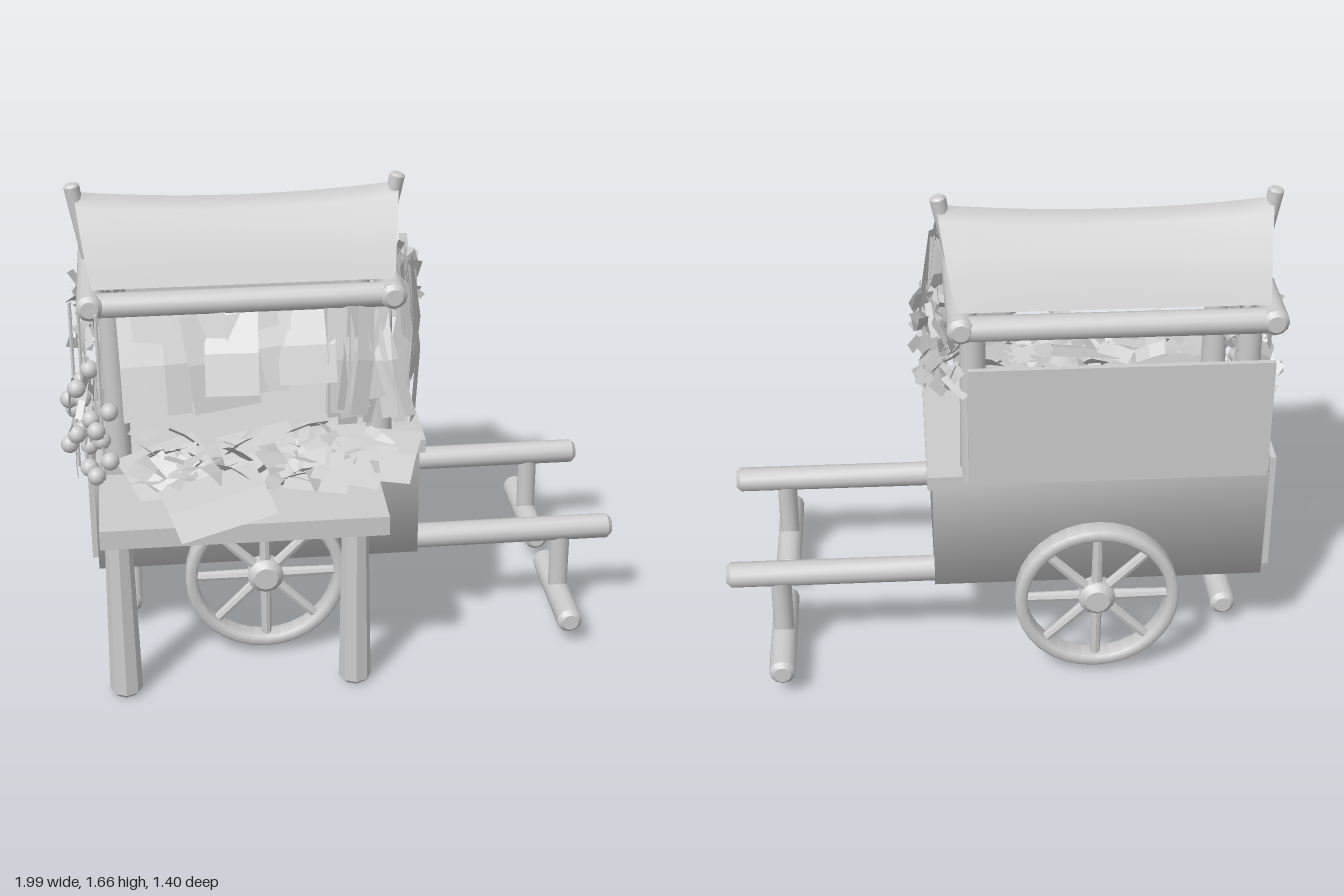
import * as THREE from 'three';
import { mergeGeometries, mergeVertices, toCreasedNormals } from 'three/addons/utils/BufferGeometryUtils.js';

const solid = new THREE.MeshStandardMaterial({ color: 0xcccccc });
const thin = new THREE.MeshStandardMaterial({ color: 0xcccccc, side: THREE.DoubleSide });
const V = (x, y, z) => new THREE.Vector3(x, y, z);

let seed = 7;
const rnd = (a, b) => {
  seed = (seed * 16807) % 2147483647;
  return a + (b - a) * (seed / 2147483647);
};

export function createModel() {
  const model = new THREE.Group();
  const add = (name, geo, mat = solid, parent = model) => {
    const m = new THREE.Mesh(geo, mat);
    m.name = name;
    parent.add(m);
    return m;
  };

  // Round bar with chamfered ends running from a to b
  const bar = (name, a, b, r0, r1 = r0, parent = model, sides = 12) => {
    const L = a.distanceTo(b), c = Math.min(r0, r1) * 0.35;
    const pts = [[0, 0], [r0 - c, 0], [r0, c], [r1, L - c], [r1 - c, L], [0, L]].map(p => new THREE.Vector2(...p));
    const m = add(name, toCreasedNormals(new THREE.LatheGeometry(pts, sides), 0.7), solid, parent);
    m.position.copy(a);
    m.quaternion.setFromUnitVectors(V(0, 1, 0), b.clone().sub(a).normalize());
    return m;
  };
  const box = (name, x0, x1, y0, y1, z0, z1) => {
    const m = add(name, new THREE.BoxGeometry(x1 - x0, y1 - y0, z1 - z0));
    m.position.set((x0 + x1) / 2, (y0 + y1) / 2, (z0 + z1) / 2);
    return m;
  };

  // Cart body: open tub with soft shading, slightly narrower at the bottom
  let tub = new THREE.BoxGeometry(1.15, 0.43, 0.74);
  const keep = [];
  for (let i = 0; i < 36; i++) if (i < 12 || i >= 18) keep.push(tub.index.getX(i));
  tub.setIndex(keep);
  tub.deleteAttribute('normal');
  tub.deleteAttribute('uv');
  tub = mergeVertices(tub);
  const tp = tub.attributes.position;
  for (let i = 0; i < tp.count; i++) if (tp.getY(i) < 0) tp.setZ(i, tp.getZ(i) * 0.97);
  tub.computeVertexNormals();
  add('cartBody', tub, thin).position.set(-0.305, 0.545, -0.155);
  box('cartDeck', -0.87, 0.18, 0.7, 0.74, -0.52, 0.21);
  box('endPlank', 0.17, 0.29, 0.74, 0.79, -0.54, 0.22);
  box('tailPanel', -0.9, -0.88, 0.38, 0.82, -0.53, 0.21);
  box('backPanel', -0.87, 0.15, 0.76, 1.2, -0.545, -0.525);

  // Wheels and axle
  bar('axle', V(-0.29, 0.315, -0.6), V(-0.29, 0.315, 0.28), 0.028);
  for (const z of [0.282, -0.595]) {
    const wheel = new THREE.Group();
    wheel.name = 'wheel';
    wheel.position.set(-0.29, 0.32, z);
    const ring = [[0.245, -0.03], [0.255, -0.038], [0.275, -0.038], [0.285, -0.03], [0.285, 0.03],
      [0.275, 0.038], [0.255, 0.038], [0.245, 0.03], [0.245, -0.03]].map(p => new THREE.Vector2(...p));
    add('wheelRim', toCreasedNormals(new THREE.LatheGeometry(ring, 32), 0.9), solid, wheel).rotation.x = Math.PI / 2;
    bar('hub', V(0, 0, -0.045), V(0, 0, 0.045), 0.065, 0.065, wheel);
    for (let i = 0; i < 8; i++) {
      const a = i * Math.PI / 4, d = V(Math.cos(a), Math.sin(a), 0);
      bar('spoke', d.clone().multiplyScalar(0.04), d.clone().multiplyScalar(0.26), 0.02, 0.017, wheel, 8);
    }
    model.add(wheel);
  }

  // Pull handles and three resting feet
  const foot = (x, z) => {
    bar('footPost', V(x, 0.1, z), V(x, 0.36, z), 0.036);
    bar('footBar', V(x, 0.102, z - 0.237), V(x, 0.102, z + 0.237), 0.046);
  };
  for (const z of [-0.465, 0.15]) {
    bar('handle', V(0.1, 0.367, z), V(0.998, 0.367, z), 0.045);
    foot(0.81, z);
  }
  foot(-0.78, -0.155);

  // Stall table with flared legs
  box('tableTop', -0.86, 0.11, 0.64, 0.71, 0.2, 0.62);
  for (const x of [-0.8, 0.007]) bar('tableLeg', V(x, 0, 0.5), V(x, 0.65, 0.5), 0.057, 0.046, model, 8);

  // Canopy frame
  for (const x of [-0.79, 0.13]) for (const z of [0.155, -0.465])
    bar('canopyPost', V(x, 0.72, z), V(x, 1.34, z), 0.046, 0.042);
  for (const z of [0.185, -0.505]) bar('longBeam', V(-0.9, 1.338, z), V(0.21, 1.338, z), 0.043);
  for (const x of [-0.86, 0.17]) bar('sideBeam', V(x, 1.343, -0.55), V(x, 1.343, 0.24), 0.046);
  bar('ridgePost', V(-0.86, 1.36, -0.158), V(-0.91, 1.655, -0.158), 0.024, 0.028);
  bar('ridgePost', V(0.17, 1.36, -0.158), V(0.23, 1.655, -0.158), 0.024, 0.028);

  // Sagging cloth roof
  const roof = new THREE.PlaneGeometry(2, 2, 12, 16);
  const rp = roof.attributes.position;
  for (let i = 0; i < rp.count; i++) {
    const u = rp.getX(i), v = rp.getY(i), t = Math.abs(v);
    const drape = 1.625 - 0.235 * t - 0.03 * Math.sin(Math.PI * t);
    rp.setXYZ(i, -0.335 + u * (0.57 - 0.055 * t), drape - 0.03 * (1 - u * u) * (1 - t), -0.16 - v * 0.335);
  }
  roof.computeVertexNormals();
  add('roofCloth', roof, thin);

  // Batches of thin sheets: each entry gives size, position, rotation, and whether it hangs from its top
  const sheets = (name, n, make, hang) => {
    const list = [];
    for (let i = 0; i < n; i++) {
      const { w, h, p, r } = make(i);
      const g = new THREE.PlaneGeometry(w, h, 1, 2);
      const q = g.attributes.position;
      for (let k = 2; k < 4; k++) q.setZ(k, 0.05 * h);
      if (hang) g.translate(0, -h / 2, 0);
      const m = new THREE.Matrix4().makeRotationFromEuler(new THREE.Euler(...r));
      list.push(g.applyMatrix4(m.setPosition(...p)).toNonIndexed());
    }
    const all = mergeGeometries(list);
    all.computeVertexNormals();
    add(name, all, thin);
  };

  // Cloths and strips hung from the front beam and corner
  sheets('hangingCloths', 10, i => ({
    w: rnd(0.15, 0.24), h: rnd(0.24, 0.38), p: [-0.7 + i * 0.063, 1.3, rnd(0.17, 0.2)],
    r: [rnd(-0.65, -0.15), rnd(-0.2, 0.2), rnd(-0.1, 0.15)] }), true);
  sheets('frontStrips', 14, i => ({
    w: rnd(0.03, 0.08), h: rnd(0.32, 0.44), p: [-0.05 + i * 0.016, 1.31, rnd(0.17, 0.22)],
    r: [rnd(-0.4, -0.05), rnd(-0.6, 0.6), rnd(-0.25, 0.3)] }), true);
  sheets('cornerStrips', 13, i => ({
    w: rnd(0.05, 0.11), h: rnd(0.42, 0.54), p: [rnd(0.21, 0.24), rnd(1.36, 1.44), -0.02 + i * 0.015],
    r: [rnd(-0.25, 0.12), Math.PI / 2 + rnd(-0.4, 0.4), rnd(0.02, 0.22)] }), true);

  // Herb bunches along both side beams
  const bunch = (x, s) => sheets('herbBunch', 75, () => ({
    w: rnd(0.025, 0.06), h: rnd(0.06, 0.13),
    p: [x + s * rnd(-0.05, 0.09), rnd(1.06, 1.3), rnd(-0.48, -0.07)],
    r: [rnd(-1.3, 1.3), rnd(-3, 3), rnd(-1.3, 1.3)] }), false);
  bunch(0.22, 1);
  bunch(-0.83, -1);

  // Leaves and broad wrappers lying on the table
  sheets('tableLeaves', 85, () => ({
    w: rnd(0.04, 0.08), h: rnd(0.08, 0.17), p: [rnd(-0.74, 0.14), rnd(0.73, 0.87), rnd(0.18, 0.46)],
    r: [-Math.PI / 2 + rnd(-0.8, 0.8), rnd(-0.7, 0.7), rnd(-3, 3)] }), false);
  const wide = [[-0.62, 0.76, 0.28, 0.3, 0.24], [-0.46, 0.75, 0.53, 0.34, 0.27], [-0.3, 0.8, 0.29, 0.26, 0.26],
    [0.02, 0.8, 0.32, 0.24, 0.3], [0.13, 0.83, 0.4, 0.2, 0.27], [-0.1, 0.76, 0.34, 0.22, 0.22]];
  sheets('broadLeaves', wide.length, i => ({
    w: wide[i][3], h: wide[i][4], p: wide[i].slice(0, 3),
    r: [-Math.PI / 2 + rnd(0.1, 0.35), rnd(-0.15, 0.15), rnd(-0.4, 0.4)] }), false);

  // Strings of bulbs at the left front corner
  const bulb = new THREE.SphereGeometry(0.032, 10, 8);
  for (const [x, z, n, top] of [[-0.9, 0.22, 7, 1.12], [-0.84, 0.27, 6, 0.98], [-0.93, 0.15, 5, 1.05]]) {
    bar('bulbString', V(x, 0.72, z), V(x, 1.33, z - 0.03), 0.007, 0.007, model, 6);
    for (let i = 0; i < n; i++) {
      const a = i * 2.3;
      add('bulb', bulb, solid).position.set(x + 0.028 * Math.cos(a), top - i * 0.06, z + 0.028 * Math.sin(a));
    }
  }
  sheets('bulbStems', 16, () => ({
    w: 0.025, h: rnd(0.09, 0.16), p: [rnd(-0.94, -0.82), rnd(0.75, 1.25), rnd(0.12, 0.28)],
    r: [rnd(-0.6, 0.6), rnd(-3, 3), rnd(-0.6, 0.6)] }), false);

  return model;
}
